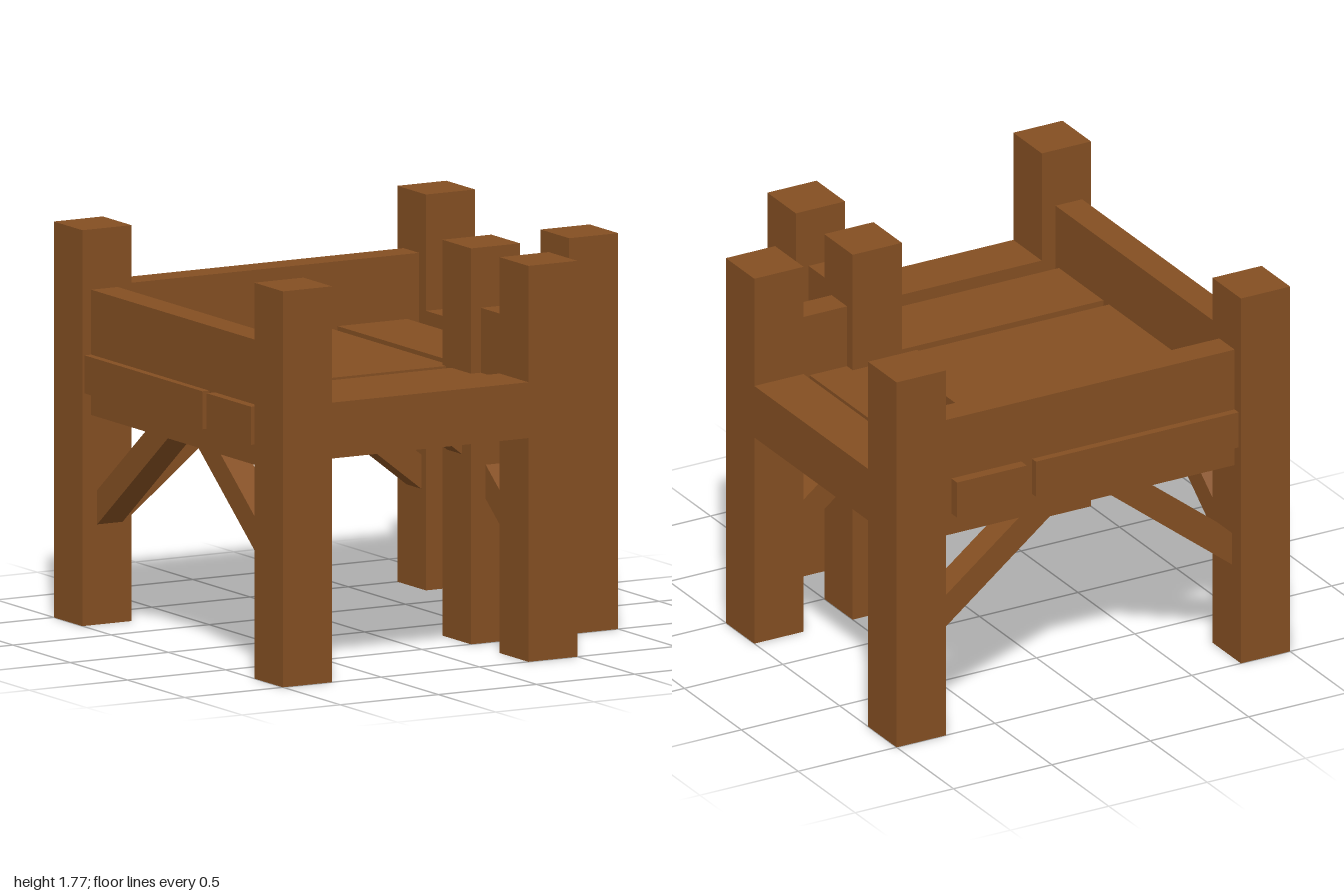
import * as THREE from 'three';

export function createModel() {
  const model = new THREE.Group();
  model.name = 'timberPlatform';
  const wood = new THREE.MeshStandardMaterial({ color: 0x844f22, side: THREE.DoubleSide });
  wood.name = 'brown wood';

  const add = (name, geometry) => {
    const mesh = new THREE.Mesh(geometry, wood);
    mesh.name = name;
    model.add(mesh);
    return mesh;
  };

  // Box given by its limits on each axis
  const block = (name, [x0, x1], [y0, y1], [z0, z1]) => {
    const mesh = add(name, new THREE.BoxGeometry(x1 - x0, y1 - y0, z1 - z0));
    mesh.position.set((x0 + x1) / 2, (y0 + y1) / 2, (z0 + z1) / 2);
    return mesh;
  };

  // Six posts around the L-shaped plan, open underneath
  const posts = {
    backRightPost: [-0.875, -0.875], backLeftPost: [0.875, -0.875],
    sideFrontPost: [0.875, 0.375], innerCornerPost: [0.375, 0.375],
    frontLeftPost: [0.375, 0.875], frontRightPost: [-0.875, 0.875],
  };
  for (const [name, [x, z]] of Object.entries(posts)) {
    const post = block(name, [x - 0.125, x + 0.125], [0, 1.77], [z - 0.125, z + 0.125]);
    const index = Array.from(post.geometry.index.array);
    index.splice(18, 6); // bottom face
    post.geometry.setIndex(index);
    post.geometry.clearGroups();
  }

  // Heavy beams on the two open sides
  block('frontBeam', [-0.75, 0.25], [1, 1.25], [0.75, 1]);
  block('sideBeam', [0.75, 1], [1, 1.25], [-0.75, 0.25]);

  // Tall side boards
  const railY = [0.94, 1.5];
  block('backRail', [-0.76, 0.76], railY, [-0.945, -0.81]);
  block('rightRail', [-0.955, -0.82], railY, [-0.76, 0.76]);
  block('notchFrontRail', [0.49, 0.76], railY, [0.3, 0.435]);
  block('notchSideRail', [0.3, 0.435], railY, [0.49, 0.76]);

  // Floor boards, with ends passing through the rails
  const floorY = [1.04, 1.21];
  block('mainFloor', [-0.99, 0.28], floorY, [-0.98, 0.28]);
  block('sideFloor', [0.335, 0.69], floorY, [-0.995, 0.46]);
  block('frontFloor', [-0.998, 0.498], floorY, [0.33, 0.72]);

  // Diagonal braces: slanted bar from a post up to the middle of a rail
  const bar = new THREE.Shape([[0.85, 0.37], [0.1, 0.955], [0.174, 1.05], [0.85, 0.523]]
    .map(([x, y]) => new THREE.Vector2(x, y)));
  const brace = (name, along, side, start) => {
    const geometry = new THREE.ExtrudeGeometry(bar, { depth: 0.13, bevelEnabled: false });
    if (side < 0) geometry.rotateY(Math.PI).translate(0, 0, 0.13);
    if (along === 'x') geometry.translate(0, 0, start);
    else geometry.rotateY(-Math.PI / 2).translate(start + 0.13, 0, 0);
    add(name, geometry);
  };
  for (const side of [-1, 1]) {
    brace('backBrace', 'x', side, -0.92);
    brace('rightBrace', 'z', side, -0.925);
  }
  brace('notchFrontBrace', 'x', 1, 0.29);
  brace('notchSideBrace', 'z', 1, 0.325);

  return model;
}
